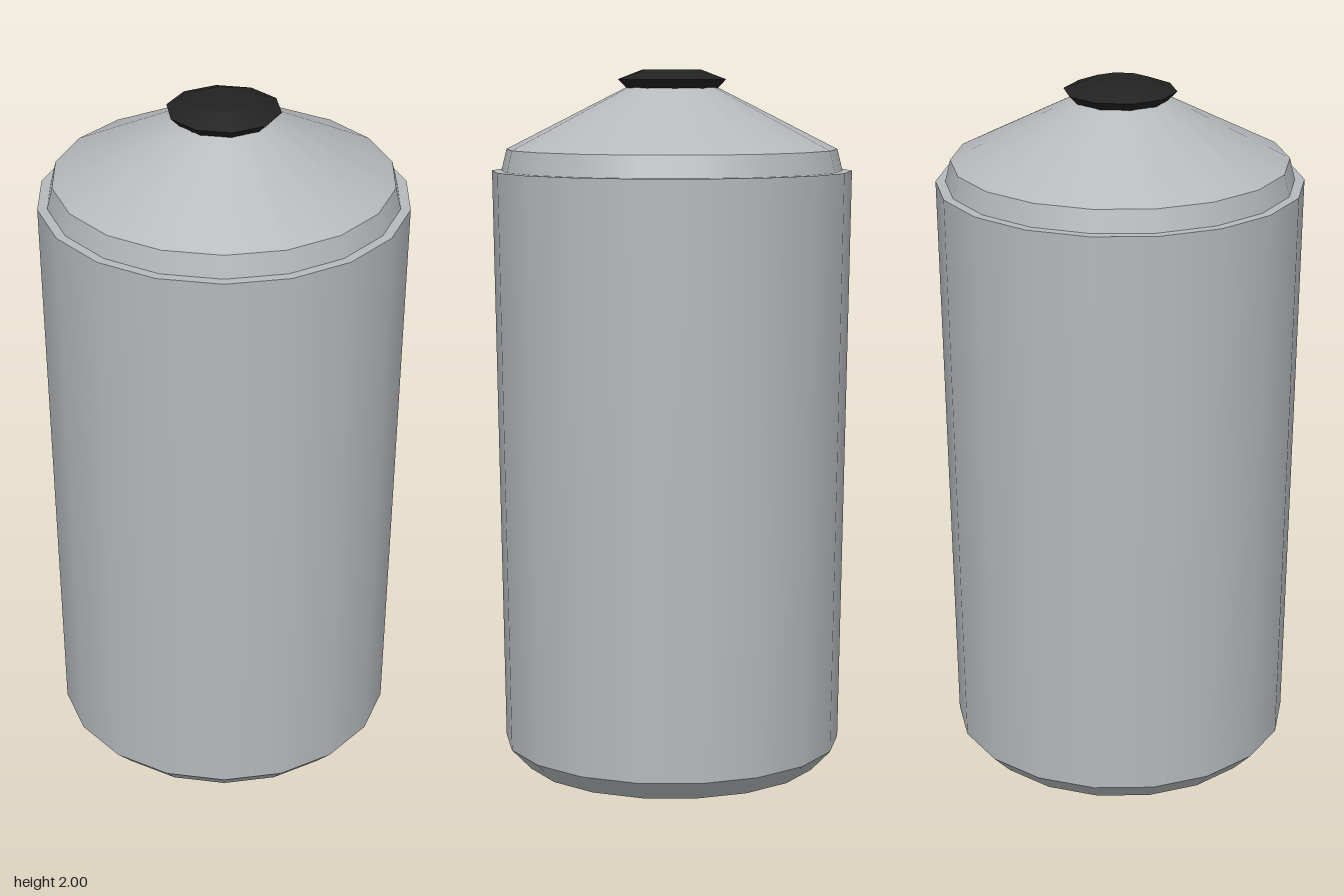
import * as THREE from 'three';

const steel = new THREE.MeshStandardMaterial({ color: 0xb6babd });
steel.name = 'brushed grey';
const black = new THREE.MeshStandardMaterial({ color: 0x222222 });
black.name = 'black';

// Revolved band between two rings, smooth around, with sharp rims; a corner lies on +x
function band(name, [r0, y0], [r1, y1], sides, material) {
  const geometry = new THREE.CylinderGeometry(r1, r0, y1 - y0, sides, 1, true, Math.PI / 2);
  const mesh = new THREE.Mesh(geometry, material);
  mesh.position.y = (y0 + y1) / 2;
  mesh.name = name;
  return mesh;
}

// Flat disc or ring facing up or down
function disc(name, inner, outer, y, sides, material, up = true) {
  const geometry = inner > 0
    ? new THREE.RingGeometry(inner, outer, sides)
    : new THREE.CircleGeometry(outer, sides);
  geometry.rotateX(up ? -Math.PI / 2 : Math.PI / 2);
  const mesh = new THREE.Mesh(geometry, material);
  mesh.position.y = y;
  mesh.name = name;
  return mesh;
}

export function createModel() {
  const model = new THREE.Group();
  model.name = 'canister';

  // Tapered container with chamfered foot and flat rim
  const body = new THREE.Group();
  body.name = 'body';
  body.add(
    disc('base', 0, 0.43, 0, 18, steel, false),
    band('footChamfer', [0.43, 0], [0.487, 0.06], 18, steel),
    band('wall', [0.487, 0.06], [0.512, 1.716], 18, steel),
    disc('rim', 0.485, 0.512, 1.716, 18, steel),
  );

  // Lid: short bevelled collar and cone
  const lid = new THREE.Group();
  lid.name = 'lid';
  lid.add(
    band('collar', [0.485, 1.716], [0.47, 1.777], 18, steel),
    band('cone', [0.47, 1.777], [0.13, 1.95], 18, steel),
  );

  // Ten-sided cap
  const cap = new THREE.Group();
  cap.name = 'cap';
  cap.add(
    disc('capUnderside', 0, 0.13, 1.946, 10, black, false),
    band('capLower', [0.13, 1.946], [0.157, 1.973], 10, black),
    band('capUpper', [0.157, 1.973], [0.085, 2], 10, black),
    disc('capTop', 0, 0.085, 2, 10, black),
  );

  model.add(body, lid, cap);
  return model;
}
